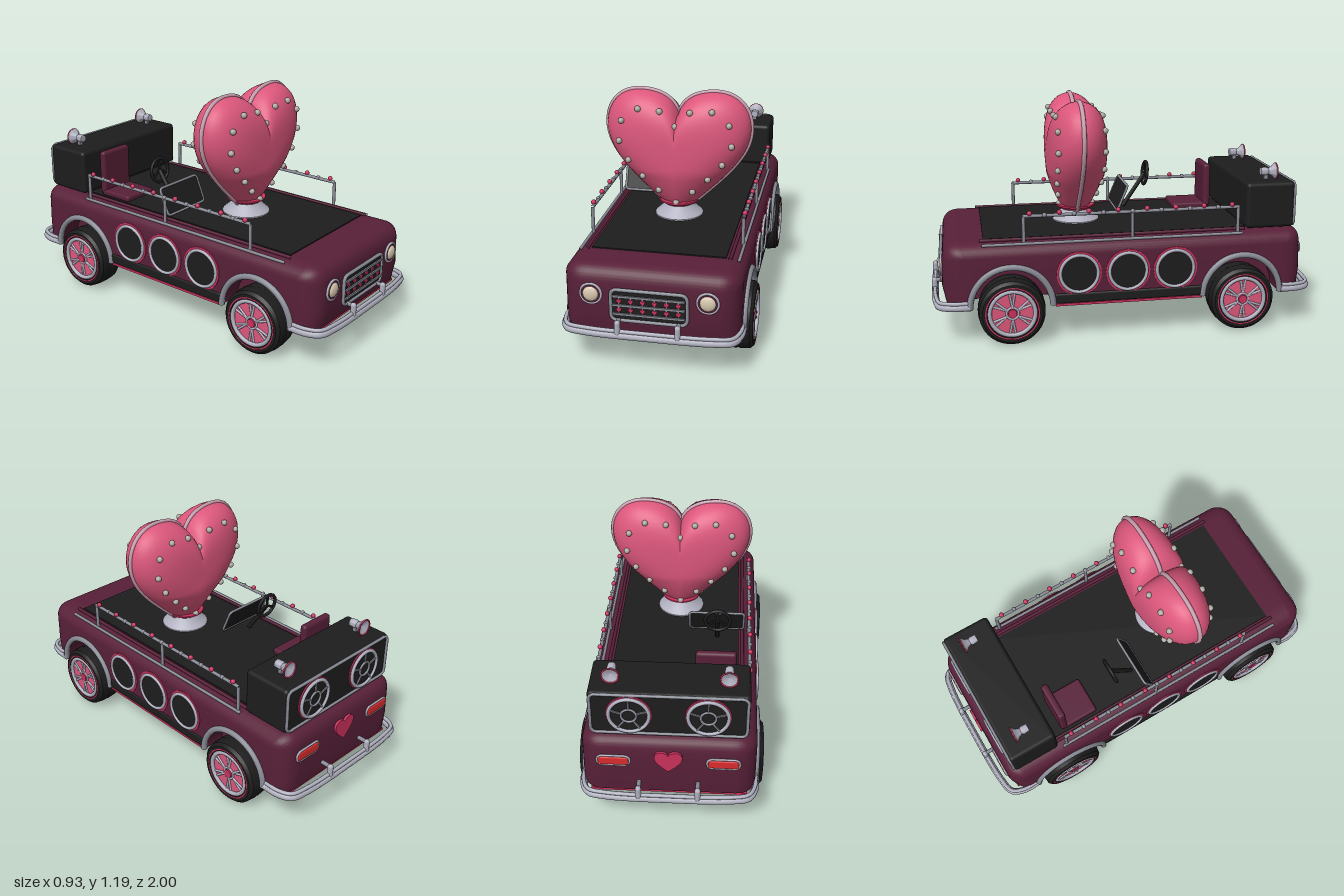
import * as THREE from 'three';
import { toCreasedNormals } from 'three/addons/utils/BufferGeometryUtils.js';
import { RoundedBoxGeometry } from 'three/addons/geometries/RoundedBoxGeometry.js';

const material = (name, color) => Object.assign(new THREE.MeshStandardMaterial({ color }), { name });
const M = {
  maroon: material('maroon paint', 0x582038),
  black: material('black', 0x1d1d1e),
  pink: material('pink', 0xdc577c),
  crimson: material('crimson', 0xcb325d),
  chrome: material('chrome', 0xb0b0bf),
  steel: material('steel', 0x8a8c96),
  bolt: material('bolt grey', 0xb0ada4),
  cream: material('cream lens', 0xd9c9b0),
  red: material('red lens', 0xda2c2e),
  pale: material('pale pink trim', 0xc9a0b0),
};
const V = (x, y, z) => new THREE.Vector3(x, y, z);

function add(parent, name, geo, mat, x = 0, y = 0, z = 0) {
  const m = new THREE.Mesh(geo, mat);
  m.name = name;
  m.position.set(x, y, z);
  parent.add(m);
  return m;
}
function group(parent, name, x = 0, y = 0, z = 0, ry = 0) {
  const g = new THREE.Group();
  g.name = name;
  g.position.set(x, y, z);
  g.rotation.y = ry;
  parent.add(g);
  return g;
}
const box = (w, h, d) => new THREE.BoxGeometry(w, h, d);
const soft = (w, h, d, r) => new RoundedBoxGeometry(w, h, d, 3, r);
const ball = r => new THREE.SphereGeometry(r, 12, 8);
const ring = (r, t) => new THREE.TorusGeometry(r, t, 8, 36);
const disc = (r, d) => new THREE.CylinderGeometry(r, r, d, 32).rotateX(Math.PI / 2);
const lathe = pts => toCreasedNormals(new THREE.LatheGeometry(pts.map(p => new THREE.Vector2(...p)), 36), 0.6);
const rod = (a, b, r) => new THREE.TubeGeometry(new THREE.LineCurve3(a, b), 1, r, 8);
// tubular frame around a rounded rectangle
function frame(w, h, r, t) {
  const s = new THREE.Shape(), x = w / 2 - r, y = h / 2 - r;
  s.absarc(x, y, r, 0, Math.PI / 2).absarc(-x, y, r, Math.PI / 2, Math.PI);
  s.absarc(-x, -y, r, Math.PI, Math.PI * 1.5).absarc(x, -y, r, Math.PI * 1.5, Math.PI * 2);
  s.closePath();
  const pts = s.getSpacedPoints(64).slice(0, -1).map(p => V(p.x, p.y, 0));
  return new THREE.TubeGeometry(new THREE.CatmullRomCurve3(pts, true), 96, t, 8, true);
}

// heart outline about its centre, running clockwise from the notch
function heartOutline(n) {
  const s = new THREE.Path().moveTo(0, 0.19);
  s.bezierCurveTo(0.03, 0.27, 0.1, 0.302, 0.195, 0.302);
  s.bezierCurveTo(0.305, 0.302, 0.37, 0.22, 0.37, 0.12);
  s.bezierCurveTo(0.37, -0.02, 0.25, -0.13, 0.08, -0.29);
  s.lineTo(0, -0.35);
  const half = s.getSpacedPoints(n);
  return half.concat(half.slice(1, -1).reverse().map(p => new THREE.Vector2(-p.x, p.y)));
}
function smallHeart(width, depth) {
  const k = width / 0.74;
  const s = new THREE.Shape(heartOutline(14).map(p => p.multiplyScalar(k)));
  return new THREE.ExtrudeGeometry(s, { depth, bevelEnabled: false });
}
// half thickness of the big heart, thinner towards its tip
const puff = (s, y) => 0.155 * Math.sqrt(Math.max(0, 1 - s ** 3)) * Math.min(1, 1 + (y + 0.1) * 1.6);
function puffyHeart() {
  const o = heartOutline(36), n = o.length, K = 14, pos = [], idx = [];
  for (let k = -K; k <= K; k++) {
    const s = Math.cos(k / K * Math.PI / 2);
    for (const p of o) pos.push(p.x * s, p.y * s, Math.sign(k) * puff(s, p.y * s));
  }
  for (let k = 0; k < 2 * K; k++) for (let i = 0; i < n; i++) {
    const j = (i + 1) % n, d = k * n + i, c = k * n + j, a = d + n, b = c + n;
    idx.push(a, b, c, a, c, d);
  }
  const g = new THREE.BufferGeometry();
  g.setAttribute('position', new THREE.Float32BufferAttribute(pos, 3));
  g.setIndex(idx);
  return toCreasedNormals(g, 0.6);
}

const AXLES = [0.6, -0.59];
// side profile with wheel arches, swept across and rounded at the flanks
function bodyShell() {
  const s = new THREE.Shape(), W = 0.42;
  s.moveTo(-0.92, 0.2);
  for (const z of [...AXLES].reverse()) s.lineTo(z - 0.195, 0.2).absarc(z, 0.2, 0.195, Math.PI, 0, true);
  s.lineTo(0.92, 0.2).lineTo(0.94, 0.3).lineTo(0.935, 0.44).quadraticCurveTo(0.93, 0.515, 0.85, 0.52);
  s.lineTo(-0.86, 0.52).quadraticCurveTo(-0.92, 0.515, -0.925, 0.45).lineTo(-0.93, 0.3).closePath();
  const g = new THREE.ExtrudeGeometry(s, { depth: 2 * W, steps: 36, bevelEnabled: false, curveSegments: 20 });
  g.translate(0, 0, -W).rotateY(-Math.PI / 2);
  const p = g.attributes.position;
  for (let i = 0; i < p.count; i++) {
    const x = W * Math.sin(p.getX(i) / W * Math.PI / 2);
    const u = Math.max(0, (Math.abs(x) - 0.32) / 0.1), f = Math.sqrt(Math.max(0, 1 - u * u));
    const round = (v, lim) => Math.abs(v) > lim ? Math.sign(v) * (lim + (Math.abs(v) - lim) * f) : v;
    p.setXYZ(i, x, round(p.getY(i), 0.45), round(p.getZ(i), 0.83));
  }
  return toCreasedNormals(g, 0.6);
}

function wheel(parent, side, z) {
  const g = group(parent, 'wheel', side * 0.385, 0.17, z, side * Math.PI / 2);
  add(g, 'tyre', lathe([[0.118, -0.065], [0.125, -0.075], [0.15, -0.075], [0.165, -0.06], [0.17, -0.012], [0.166, 0],
    [0.17, 0.012], [0.165, 0.06], [0.15, 0.075], [0.125, 0.075], [0.118, 0.055]]).rotateX(Math.PI / 2), M.black);
  add(g, 'wheelDisc', disc(0.12, 0.125), M.pink);
  add(g, 'tyreStripe', ring(0.133, 0.005), M.crimson, 0, 0, 0.0715);
  add(g, 'wheelRim', ring(0.114, 0.011), M.chrome, 0, 0, 0.068);
  add(g, 'hubRing', ring(0.03, 0.006), M.chrome, 0, 0, 0.065);
  add(g, 'hub', disc(0.022, 0.02), M.crimson, 0, 0, 0.064);
  // paired spokes
  for (let i = 0; i < 6; i++) for (const d of [-0.13, 0.13]) {
    const a = i * Math.PI / 3 + Math.PI / 6, r = b => V(Math.cos(b), Math.sin(b), 0);
    add(g, 'spoke', rod(r(a).multiplyScalar(0.03), r(a + d).multiplyScalar(0.108), 0.006), M.chrome, 0, 0, 0.064);
  }
}

function bumper(parent, name, ry) {
  const g = group(parent, name, 0, 0, 0, ry);
  const path = [[-0.42, 0.81], [-0.42, 0.88], [-0.39, 0.95], [-0.3, 0.972], [0, 0.98]];
  const pts = [...path, ...path.slice(0, -1).reverse().map(([x, z]) => [-x, z])];
  const curve = new THREE.CatmullRomCurve3(pts.map(([x, z]) => V(x, 0, z)));
  add(g, 'bumperBar', new THREE.TubeGeometry(curve, 60, 0.018, 8), M.chrome, 0, 0.203, 0);
  add(g, 'bumperLip', new THREE.TubeGeometry(curve, 60, 0.01, 8), M.chrome, 0, 0.225, 0);
  add(g, 'valanceStripe', box(0.76, 0.012, 0.02), M.crimson, 0, 0.186, 0.9);
  add(g, 'endFloor', box(0.72, 0.012, 0.08), M.black, 0, 0.196, 0.85);
  for (const s of [-1, 1]) {
    add(g, 'overrider', new THREE.CapsuleGeometry(0.015, 0.06, 4, 10), M.chrome, s * 0.142, 0.235, 0.98);
    add(g, 'overriderStay', rod(V(s * 0.142, 0.265, 0.985), V(s * 0.142, 0.265, 0.92), 0.011), M.steel);
    add(g, 'bumperEnd', ball(0.019), M.chrome, s * 0.42, 0.203, 0.81);
  }
}

export function createModel() {
  const car = new THREE.Group();
  car.name = 'heartParadeCar';

  // body and underside
  add(car, 'body', bodyShell(), M.maroon);
  add(car, 'wheelWells', box(0.62, 0.25, 1.74), M.maroon, 0, 0.335, 0);
  add(car, 'underside', box(0.52, 0.02, 1.74), M.black, 0, 0.2, 0);
  add(car, 'floor', box(0.83, 0.06, 0.75), M.black, 0, 0.22, 0);
  add(car, 'deck', box(0.65, 0.012, 1.36), M.black, 0, 0.52, 0.05);
  bumper(car, 'frontBumper', 0);
  bumper(car, 'rearBumper', Math.PI);

  for (const s of [-1, 1]) {
    // flanks: wheels, arches, sills and round ports
    for (const z of AXLES) {
      wheel(car, s, z);
      add(car, 'archTrim', new THREE.TorusGeometry(0.207, 0.016, 8, 32, Math.PI).rotateY(Math.PI / 2), M.steel, s * 0.423, 0.193, z);
    }
    add(car, 'sill', soft(0.03, 0.055, 0.77, 0.012), M.black, s * 0.412, 0.222, 0);
    add(car, 'sillStripe', box(0.02, 0.012, 0.76), M.crimson, s * 0.412, 0.188, 0);
    for (const z of [0.26, 0.01, -0.235]) {
      const p = group(car, 'sidePort', s * 0.42, 0.35, z, s * Math.PI / 2);
      add(p, 'portEdge', disc(0.114, 0.008), M.crimson);
      add(p, 'portGlass', disc(0.09, 0.014), M.black);
      add(p, 'portRing', ring(0.096, 0.0085), M.chrome, 0, 0, 0.007);
    }
    // deck trim and light rail
    add(car, 'deckTrim', rod(V(s * 0.345, 0.522, 0.75), V(s * 0.345, 0.522, -0.62), 0.009), M.maroon);
    add(car, 'deckMoulding', rod(V(s * 0.384, 0.508, 0.74), V(s * 0.384, 0.508, -0.6), 0.008), M.steel);
    add(car, 'rail', rod(V(s * 0.377, 0.647, 0.535), V(s * 0.377, 0.647, -0.58), 0.009), M.steel);
    for (const z of [0.53, -0.02, -0.575])
      add(car, 'railPost', rod(V(s * 0.377, 0.5, z), V(s * 0.377, 0.65, z), 0.009), M.steel);
    for (let i = 0; i < 8; i++) {
      const z = 0.5 - i * 0.1486;
      add(car, 'railBulb', ball(0.013), M.crimson, s * 0.38, 0.661, z);
      if (i < 7) add(car, 'railClamp', ball(0.012), M.steel, s * 0.379, 0.65, z - 0.0743);
    }

    // headlamps and tail lamps
    const h = group(car, 'headlamp', s * 0.275, 0.388, 0.937);
    add(h, 'lampBase', disc(0.05, 0.016), M.maroon);
    add(h, 'lampRing', ring(0.05, 0.006), M.chrome, 0, 0, 0.004);
    add(h, 'lampLens', new THREE.SphereGeometry(0.038, 20, 12).scale(1, 1, 0.4), M.cream, 0, 0, 0.006);
    const t = group(car, 'tailLamp', s * 0.262, 0.398, -0.93, Math.PI);
    add(t, 'tailLens', soft(0.146, 0.046, 0.016, 0.007), M.red);
    add(t, 'tailFrame', frame(0.156, 0.057, 0.026, 0.0055), M.chrome);
  }

  // grille with two rows of little hearts
  const grille = group(car, 'grille', 0, 0.342, 0.938);
  add(grille, 'grilleBack', soft(0.35, 0.145, 0.014, 0.006), M.black);
  add(grille, 'grilleFrame', frame(0.36, 0.155, 0.028, 0.009), M.steel, 0, 0, 0.006);
  for (const y of [0.045, 0, -0.045]) add(grille, 'grilleBar', box(0.34, 0.011, 0.008), M.steel, 0, y, 0.01);
  for (const y of [0.022, -0.022]) for (let i = 0; i < 6; i++) {
    add(grille, 'heartHolder', box(0.006, 0.034, 0.004), M.steel, -0.14 + i * 0.056, y, 0.008);
    add(grille, 'grilleHeart', smallHeart(0.025, 0.006), M.crimson, -0.14 + i * 0.056, y, 0.007);
  }
  const badge = add(car, 'rearHeart', smallHeart(0.135, 0.012), M.crimson, 0, 0.408, -0.926);
  badge.rotation.y = Math.PI;

  // big heart on its pedestal
  const heart = group(car, 'bigHeart', 0, 0.88, 0.22);
  add(heart, 'heartShell', puffyHeart(), M.pink);
  const rimPts = heartOutline(30).map(p => V(p.x, p.y, 0));
  add(heart, 'heartRim', new THREE.TubeGeometry(new THREE.CatmullRomCurve3(rimPts, true), 160, 0.0115, 8, true), M.pale);
  for (const p of heartOutline(8)) for (const s of [-1, 1]) {
    const x = p.x * 0.78, y = p.y * 0.765;
    add(heart, 'heartBulb', ball(0.016), M.bolt, x, y, s * (puff(0.775, y) + 0.006));
  }
  add(car, 'pedestal', lathe([[0.125, 0.52], [0.125, 0.532], [0.105, 0.55], [0.08, 0.575], [0.072, 0.592], [0, 0.592]]), M.chrome, 0, 0, 0.22);
  add(car, 'heartCollar', lathe([[0.06, 0.575], [0.088, 0.592], [0.103, 0.602], [0.103, 0.61], [0, 0.61]]), M.crimson, 0, 0, 0.22);

  // driver's place
  add(car, 'seatCushion', soft(0.2, 0.035, 0.2, 0.012), M.maroon, -0.21, 0.535, -0.45);
  add(car, 'seatBack', soft(0.2, 0.24, 0.04, 0.016), M.maroon, -0.21, 0.65, -0.545);
  add(car, 'steeringColumn', rod(V(-0.21, 0.53, -0.08), V(-0.21, 0.715, -0.205), 0.012), M.black);
  const steer = group(car, 'steeringWheel', -0.21, 0.715, -0.205);
  steer.rotation.x = -0.12;
  add(steer, 'steeringRim', ring(0.064, 0.009), M.black);
  for (let i = 0; i < 3; i++) add(steer, 'steeringSpoke', box(0.064, 0.012, 0.008).translate(0.032, 0, 0), M.black).rotation.z = Math.PI / 2 + i * Math.PI * 2 / 3;
  const screen = group(car, 'windscreen', -0.205, 0.608, -0.05);
  screen.rotation.x = -0.4;
  add(screen, 'screenPane', box(0.28, 0.14, 0.006), M.black);
  add(screen, 'screenFrame', frame(0.29, 0.148, 0.018, 0.007), M.steel);

  // loudspeaker cabinet
  const cab = group(car, 'speakerCabinet', 0, 0.645, -0.75, Math.PI);
  add(cab, 'cabinet', soft(0.755, 0.24, 0.26, 0.02), M.black);
  add(cab, 'cabinetFrame', frame(0.735, 0.225, 0.02, 0.008), M.steel, 0, 0, 0.131);
  for (const s of [-1, 1]) {
    const sp = group(cab, 'speaker', s * 0.185, 0, 0.132);
    add(sp, 'speakerEdge', disc(0.109, 0.008), M.crimson);
    add(sp, 'speakerCone', disc(0.094, 0.014), M.black);
    add(sp, 'speakerRing', ring(0.095, 0.009), M.chrome, 0, 0, 0.008);
    add(sp, 'speakerInnerRing', ring(0.036, 0.006), M.steel, 0, 0, 0.01);
    for (let i = 0; i < 5; i++)
      add(sp, 'speakerSpoke', box(0.056, 0.008, 0.007).translate(0.065, 0, 0), M.steel, 0, 0, 0.01).rotation.z = Math.PI / 2 + i * Math.PI * 0.4;
    // horns facing backwards
    const horn = group(cab, 'horn', s * 0.275, 0.16, 0);
    add(horn, 'hornBell', lathe([[0, -0.03], [0.02, -0.028], [0.022, 0], [0.017, 0.012], [0.024, 0.03], [0.042, 0.048], [0.042, 0.054], [0, 0.035]]).rotateX(Math.PI / 2), M.chrome);
    add(horn, 'hornRim', ring(0.041, 0.004), M.crimson, 0, 0, 0.053);
    add(horn, 'hornFoot', box(0.02, 0.05, 0.02), M.steel, 0, -0.025, 0);
  }
  return car;
}
